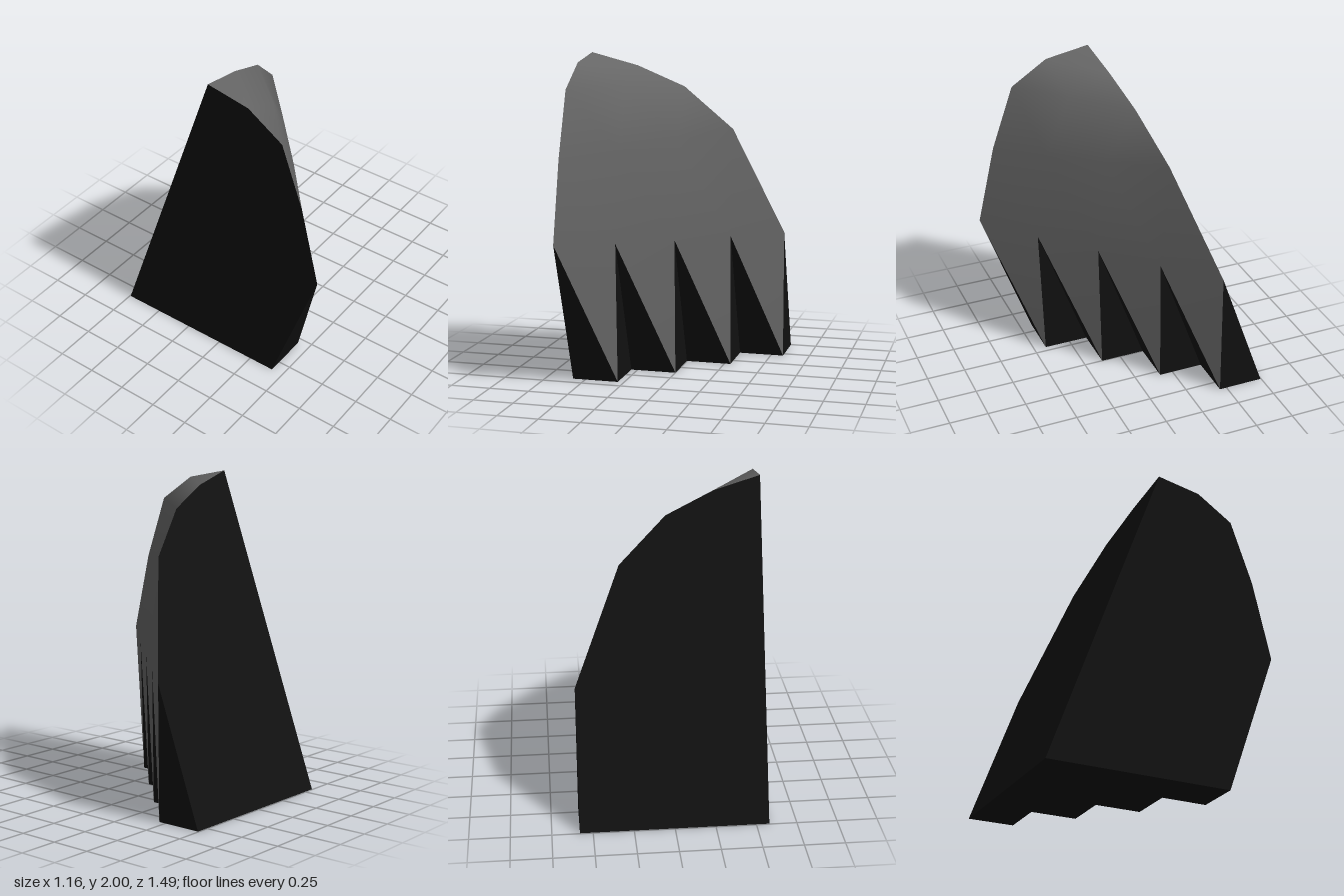
import * as THREE from 'three';

const grey = new THREE.MeshStandardMaterial({ color: 0x666666 });
grey.name = 'stone grey';
const black = new THREE.MeshStandardMaterial({ color: 0x111111 });
black.name = 'near black';

function makeMesh(name, points, index, material) {
  const geometry = new THREE.BufferGeometry();
  geometry.setAttribute('position', new THREE.Float32BufferAttribute(points.flat(), 3));
  geometry.setIndex(index);
  geometry.computeVertexNormals();
  const mesh = new THREE.Mesh(geometry, material);
  mesh.name = name;
  return mesh;
}

// Flat panel fanned out from its first corner; corners run anticlockwise seen from outside
function makePanel(name, corners) {
  const index = [];
  for (let i = 1; i < corners.length - 1; i++) index.push(0, i, i + 1);
  return makeMesh(name, corners, index, black);
}

export function createModel() {
  const model = new THREE.Group();
  model.name = 'toothedWedge';

  const columns = [-0.58, -0.29, 0, 0.29, 0.58];
  const backZ = -0.745;

  // Rows of [y, z] for the curved face, each one column shorter than the last
  const rows = [
    [[0.9, 0.745], [0.87, 0.45], [0.855, 0.15], [0.84, -0.15], [0.83, -0.445]],
    [[1.4, 0.63], [1.43, 0.37], [1.47, 0.09], [1.52, -0.2]],
    [[1.8, 0.49], [1.81, 0.22], [1.79, -0.1]],
    [[1.95, 0.26], [1.92, -0.05]],
    [[2, -0.02]],
  ].map(row => row.map(([y, z], i) => [columns[i], y, z]));
  const peaks = rows[0];

  // Stepped foot: inner corners sit below the peaks, tips stand out between them
  const inner = columns.map((x, i) => [x, 0, 0.42 + (backZ - 0.42) * i / 4]);
  const tips = columns.slice(1).map((x, i) => [x, 0, inner[i][2]]);

  // Curved face, with the pointed teeth hanging from its lower edge
  const points = [...rows.flat(), ...tips];
  const id = new Map(points.map((p, i) => [p, i]));
  const index = [];
  const tri = (...corners) => index.push(...corners.map(p => id.get(p)));
  for (let r = 0; r < 4; r++) {
    for (let j = 0; j < 4 - r; j++) {
      tri(rows[r][j], rows[r][j + 1], rows[r + 1][j]);
      if (j < 3 - r) tri(rows[r][j + 1], rows[r + 1][j + 1], rows[r + 1][j]);
    }
  }
  tips.forEach((tip, i) => tri(tip, peaks[i + 1], peaks[i]));
  model.add(makeMesh('curvedFace', points, index, grey));

  // Undercut notches between the teeth
  tips.forEach((tip, i) => {
    model.add(makePanel('notchFront', [peaks[i], inner[i], tip]));
    model.add(makePanel('notchSide', [peaks[i + 1], tip, inner[i + 1]]));
  });

  // Flat upright side, sloping back and stepped underside
  const sideCorner = [columns[0], 0, backZ];
  const farCorner = inner[4];
  const sideEdge = rows.map(row => row[0]);
  const backEdge = rows.map(row => row[row.length - 1]);
  model.add(makePanel('flatSide', [sideCorner, inner[0], ...sideEdge]));
  model.add(makePanel('slopingBack', [sideCorner, ...backEdge.slice().reverse(), farCorner]));

  const steps = [];
  for (let i = 3; i >= 0; i--) steps.push(tips[i], inner[i]);
  model.add(makePanel('underside', [sideCorner, farCorner, ...steps]));

  return model;
}
